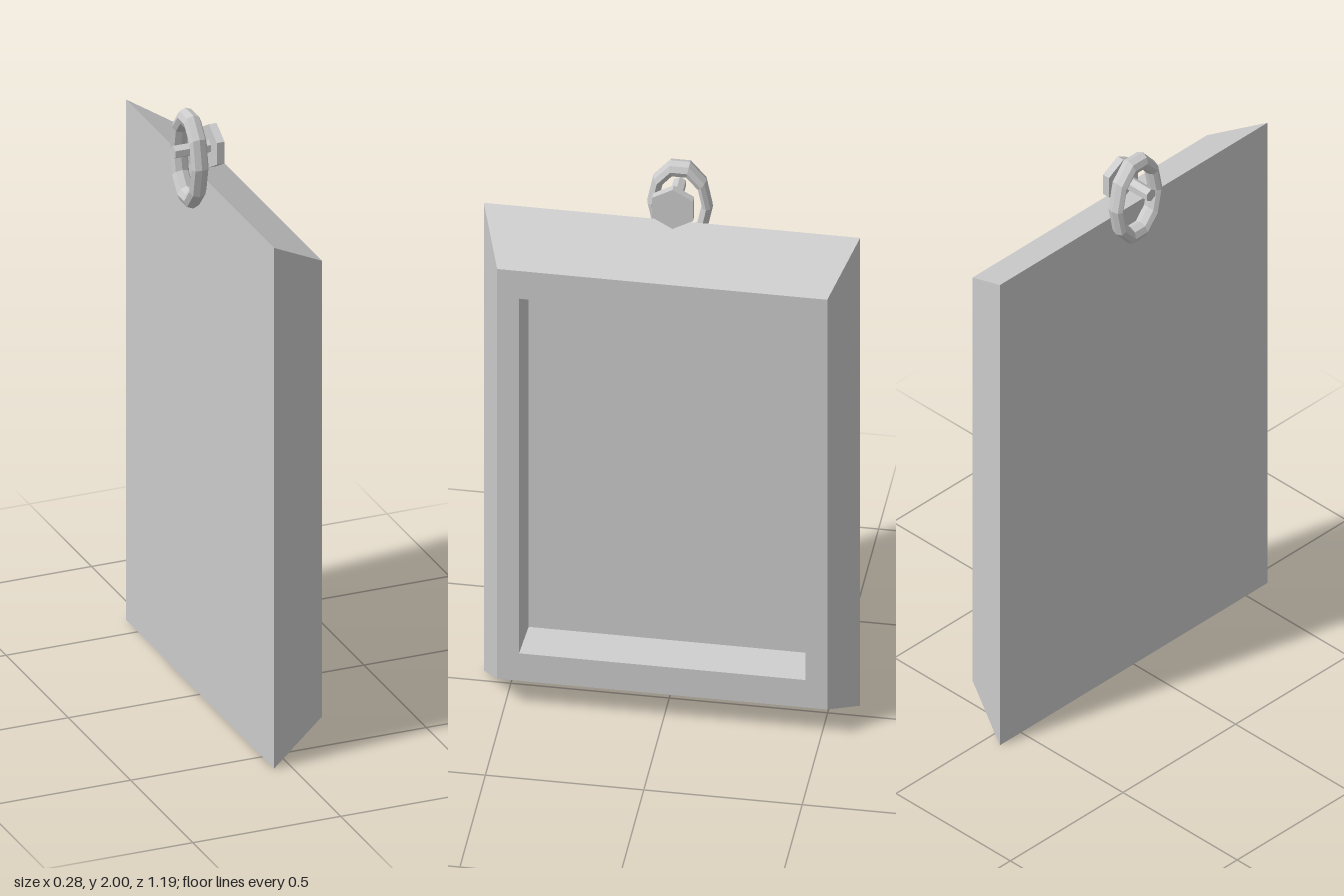
import * as THREE from 'three';

const material = new THREE.MeshStandardMaterial({ color: 0xcccccc, flatShading: true });

function addPart(group, name, geometry, x = 0, y = 0, z = 0) {
  const mesh = new THREE.Mesh(geometry, material);
  mesh.name = name;
  mesh.position.set(x, y, z);
  group.add(mesh);
}

// Rectangle facing +x, as four corners in counter-clockwise order
const rect = (x, yLow, yHigh, halfZ) => [
  [x, yLow, halfZ], [x, yLow, -halfZ], [x, yHigh, -halfZ], [x, yHigh, halfZ],
];

// Joins successive rectangles with flat sides and caps both ends
function loftRects(loops) {
  const points = [];
  const quad = (a, b, c, d) => points.push(...a, ...b, ...c, ...a, ...c, ...d);
  for (let k = 0; k < loops.length - 1; k++) {
    const a = loops[k], b = loops[k + 1];
    for (let i = 0; i < 4; i++) {
      const j = (i + 1) % 4;
      quad(a[i], a[j], b[j], b[i]);
    }
  }
  quad(...[...loops[0]].reverse());
  quad(...loops[loops.length - 1]);
  const geometry = new THREE.BufferGeometry();
  geometry.setAttribute('position', new THREE.Float32BufferAttribute(points, 3));
  geometry.computeVertexNormals();
  return geometry;
}

// Six-sided bar along x with a corner pointing up
const hexBar = (radius, length) =>
  new THREE.CylinderGeometry(radius, radius, length, 6).rotateY(Math.PI / 6).rotateZ(Math.PI / 2);

export function createModel() {
  const model = new THREE.Group();
  model.name = 'hangingPictureFrame';

  // Bevelled frame: back, front rim, opening, recessed panel
  addPart(model, 'frame', loftRects([
    rect(-0.054, 0, 1.79, 0.594),
    rect(0.138, 0.112, 1.68, 0.521),
    rect(0.138, 0.217, 1.574, 0.452),
    rect(0.019, 0.236, 1.553, 0.441),
  ]));

  // Oval hanging ring behind the frame
  const ring = new THREE.TorusGeometry(0.139, 0.029, 8, 10).rotateY(Math.PI / 2).scale(1, 1, 0.62);
  addPart(model, 'hangingRing', ring, -0.082, 1.84, -0.021);

  // Nail passing through the ring
  const nail = new THREE.Group();
  nail.name = 'nail';
  nail.position.set(0, 1.875, -0.011);
  addPart(nail, 'nailShaft', hexBar(0.022, 0.125), -0.0785);
  addPart(nail, 'nailHead', hexBar(0.0745, 0.026), -0.007);
  model.add(nail);

  return model;
}
